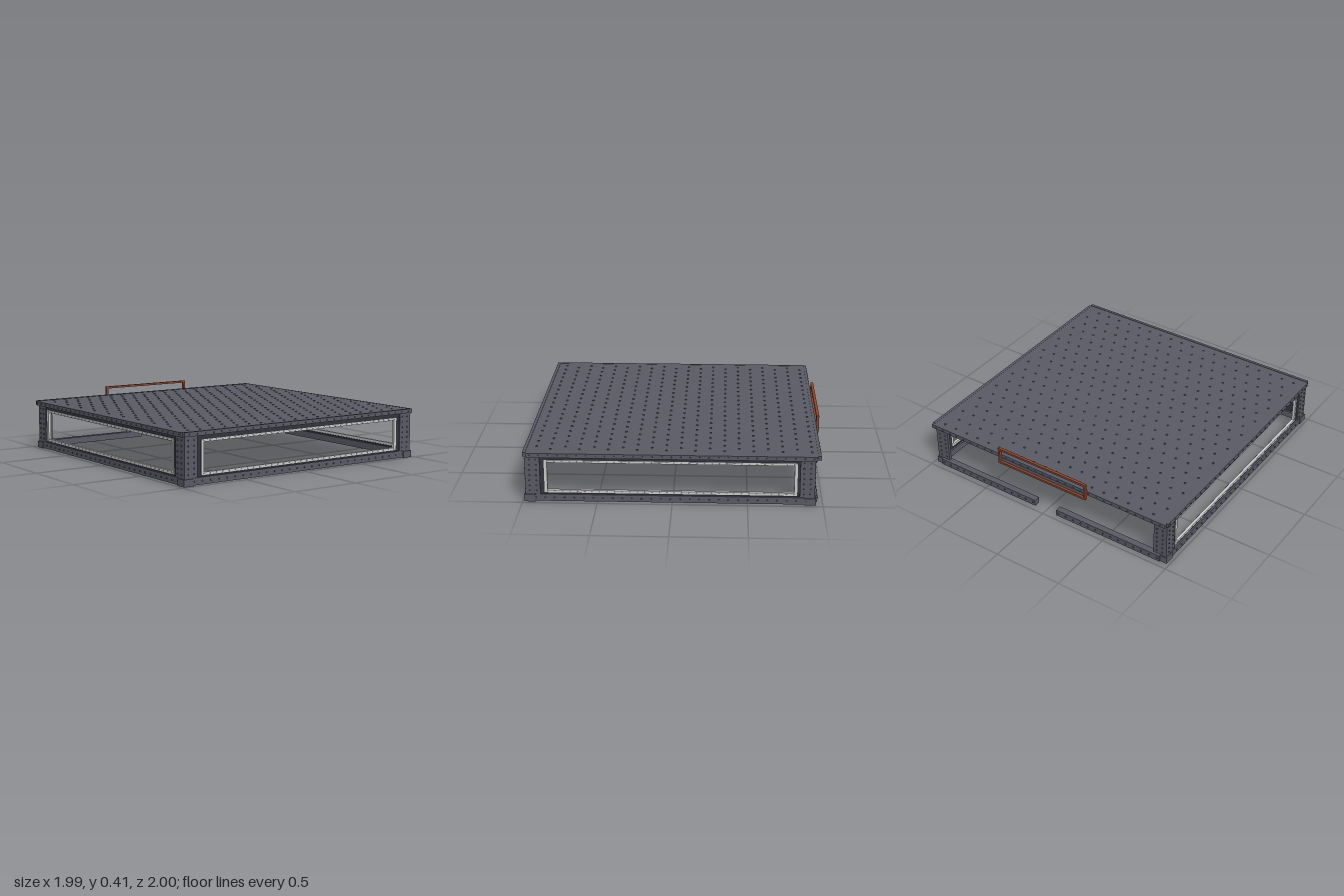
import * as THREE from 'three';
import { mergeGeometries } from 'three/addons/utils/BufferGeometryUtils.js';

const mat = (color) => new THREE.MeshStandardMaterial({ color });
const steel = mat(0x5a5a66);
const darkSteel = mat(0x32343e);
const pale = mat(0xcccccc);
const copper = mat(0x8a4630);

function add(parent, name, geometry, material) {
  const mesh = new THREE.Mesh(geometry, material);
  mesh.name = name;
  parent.add(mesh);
  return mesh;
}

// Box given by its lowest and highest corners
function block(x0, y0, z0, x1, y1, z1) {
  return new THREE.BoxGeometry(x1 - x0, y1 - y0, z1 - z0)
    .translate((x0 + x1) / 2, (y0 + y1) / 2, (z0 + z1) / 2);
}

// Rectangular ring in the xy plane, its front face at z
function frame(w, y0, y1, iw, iy0, iy1, depth, z) {
  const ring = (a, b, c) => [[-a, b], [a, b], [a, c], [-a, c]].map((p) => new THREE.Vector2(...p));
  const shape = new THREE.Shape(ring(w, y0, y1));
  shape.holes.push(new THREE.Path(ring(iw, iy0, iy1)));
  return new THREE.ExtrudeGeometry(shape, { depth, bevelEnabled: false }).translate(0, 0, z - depth);
}

// Rivet heads facing +z at the listed points
function rivets(points, r = 0.006, h = 0.006) {
  return mergeGeometries(points.map(([x, y, z]) =>
    new THREE.CylinderGeometry(r * 0.7, r, h, 6).rotateX(Math.PI / 2).translate(x, y, z + h / 2)));
}

function row(count, from, to, fn) {
  return Array.from({ length: count }, (_, i) => fn(from + ((to - from) * i) / (count - 1)));
}

// One windowed wall, outer face on z = 0
function wall(name) {
  const g = new THREE.Group();
  g.name = name;
  add(g, 'bottomRail', block(-0.91, 0.004, -0.045, 0.91, 0.052, 0), steel);
  add(g, 'railRivets', rivets(row(29, -0.9, 0.9, (x) => [x, 0.028, 0])), steel);
  add(g, 'windowPanel', frame(0.89, 0.05, 0.32, 0.84, 0.062, 0.292, 0.02, -0.012), darkSteel);
  add(g, 'windowTrim', frame(0.84, 0.062, 0.292, 0.82, 0.08, 0.275, 0.02, -0.008), pale);
  const studs = [0.071, 0.2835].flatMap((y) => row(34, -0.82, 0.82, (x) => [x, y, -0.008]));
  add(g, 'trimRivets', rivets(studs, 0.004, 0.004), pale);
  return g;
}

// Corner angle post, outer edges meeting at x = 0, z = 0, flanges running to -x and -z
function post(name) {
  const g = new THREE.Group();
  g.name = name;
  const L = (w, t) => new THREE.Shape([[0, 0], [-w, 0], [-w, t], [-t * 1.8, t], [-t, t * 1.8], [-t, w], [0, w]]
    .map((p) => new THREE.Vector2(...p)));
  const column = (w, t, y0, y1) => new THREE.ExtrudeGeometry(L(w, t), { depth: y1 - y0, bevelEnabled: false })
    .rotateX(-Math.PI / 2).translate(0, y0, 0);
  add(g, 'postAngle', column(0.1, 0.02, 0.04, 0.325), steel);
  add(g, 'postShoe', column(0.075, 0.045, 0, 0.048).translate(0.008, 0, 0.008), steel);
  const face = [-0.03, -0.075].flatMap((x) => row(7, 0.075, 0.295, (y) => [x, y, 0]));
  add(g, 'postRivets', rivets(face), steel);
  add(g, 'postSideRivets', rivets(face.map(([x, y]) => [-x, y, 0])).rotateY(Math.PI / 2), steel);
  return g;
}

export function createModel() {
  const model = new THREE.Group();
  model.name = 'riveted canopy';

  // Three windowed walls; the back stays open
  const front = wall('frontWall');
  front.position.z = 0.985;
  model.add(front);
  for (const s of [1, -1]) {
    const side = wall(s > 0 ? 'leftWall' : 'rightWall');
    side.rotation.y = (s * Math.PI) / 2;
    side.position.set(s * 0.975, 0, 0.012);
    model.add(side);
  }

  // Corner posts, turned so each flange runs inward
  const corners = [[0.972, 0.98, 0], [0.972, -0.945, 1], [-0.972, -0.945, 2], [-0.972, 0.98, 3]];
  for (const [x, z, turn] of corners) {
    const p = post('cornerPost' + (turn + 1));
    p.position.set(x, 0, z);
    p.rotation.y = (turn * Math.PI) / 2;
    model.add(p);
  }

  // Split back rail and the plate behind the handle
  for (const s of [1, -1]) {
    const rail = add(model, 'backRail', block(-0.42, 0.004, -0.0225, 0.42, 0.05, 0.0225), steel);
    rail.position.set(s * 0.51, 0, -0.942);
    const studs = add(model, 'backRailRivets', rivets(row(14, -0.4, 0.4, (x) => [x, 0.028, 0])), steel);
    studs.rotation.y = Math.PI;
    studs.position.set(s * 0.51, 0, -0.9645);
  }
  add(model, 'backTopRail', block(-0.95, 0.298, -0.945, 0.95, 0.322, -0.925), darkSteel);
  add(model, 'handlePlate', block(-0.35, 0.288, -0.982, 0.35, 0.325, -0.97), steel);

  // Roof sheet with edging strips
  add(model, 'roof', block(-0.975, 0.322, -0.97, 0.975, 0.346, 0.98), steel);
  add(model, 'roofUnderside', block(-0.955, 0.318, -0.945, 0.955, 0.3225, 0.96), darkSteel);
  for (const [z0, z1] of [[0.972, 0.992], [-0.98, -0.96]]) {
    add(model, 'roofEdge', block(-0.978, 0.32, z0, 0.978, 0.349, z1), steel);
  }
  for (const s of [1, -1]) {
    add(model, 'roofSideEdge', block(-0.01, 0.317, -0.955, 0.01, 0.347, 0.968), steel).position.x = s * 0.978;
  }

  // Rivets along the roof edges
  const edge = row(31, -0.94, 0.94, (x) => [x, 0.333, 0]);
  for (let i = 0; i < 4; i++) {
    const studs = add(model, 'roofEdgeRivets', rivets(edge, 0.005, 0.005), steel);
    studs.rotation.y = (i * Math.PI) / 2;
    studs.position.set([0, 0.988, 0, -0.988][i], 0, [0.992, 0.006, -0.98, 0.006][i]);
  }

  // Staggered rivets over the roof, above and below
  const grid = [];
  for (let j = 0; j < 20; j++) {
    for (let i = 0; i < 19; i++) {
      grid.push([-0.9 + i * 0.0975 + (j % 2 ? 0.045 : 0), -0.9 + j * 0.0965, 0]);
    }
  }
  const top = add(model, 'roofRivets', rivets(grid, 0.008, 0.006), steel);
  top.rotation.x = -Math.PI / 2;
  top.position.set(0, 0.346, 0.01);
  const under = add(model, 'undersideRivets', rivets(grid, 0.006, 0.004), darkSteel);
  under.rotation.x = Math.PI / 2;
  under.position.set(0, 0.318, 0.01);

  // Upright handle frame on the back edge
  add(model, 'handle', frame(0.365, 0.286, 0.41, 0.35, 0.301, 0.395, 0.02, -0.98), copper);
  return model;
}
